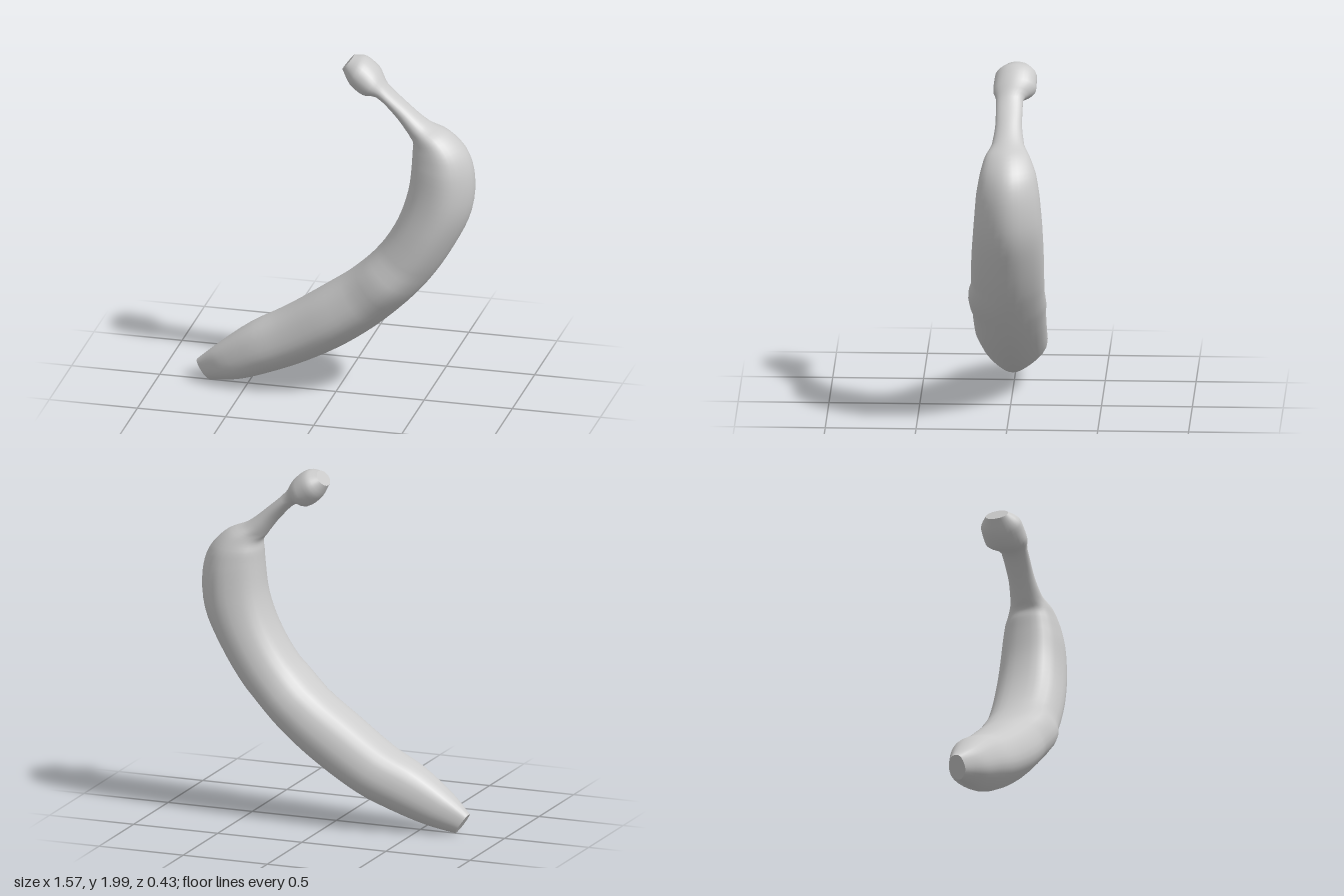
import * as THREE from 'three';

// Cross-sections from blossom tip to stem end:
// inner edge x, y, outer edge x, y, half width in z, centre z
const SECTIONS = [
  [-0.79, 0.12, -0.71, 0.005, 0.045, 0],
  [-0.68, 0.22, -0.54, 0.035, 0.105, 0.01],
  [-0.50, 0.36, -0.36, 0.095, 0.155, 0],
  [-0.32, 0.46, -0.16, 0.18, 0.185, -0.01],
  [-0.10, 0.61, 0.08, 0.32, 0.20, 0],
  [0.08, 0.74, 0.30, 0.49, 0.203, 0],
  [0.24, 0.90, 0.52, 0.72, 0.203, 0],
  [0.35, 1.08, 0.67, 0.95, 0.20, -0.005],
  [0.41, 1.26, 0.765, 1.16, 0.19, -0.01],
  [0.43, 1.42, 0.78, 1.36, 0.175, -0.01],
  [0.435, 1.50, 0.74, 1.50, 0.155, -0.01],
  [0.44, 1.55, 0.64, 1.605, 0.125, -0.005],
  [0.415, 1.59, 0.52, 1.66, 0.09, -0.005],
  [0.33, 1.70, 0.40, 1.755, 0.073, -0.005],
  [0.23, 1.79, 0.29, 1.855, 0.075, -0.005],
  [0.15, 1.79, 0.23, 1.94, 0.118, -0.03],
  [0.08, 1.84, 0.155, 1.995, 0.115, -0.035],
  [0.03, 1.92, 0.09, 1.995, 0.065, -0.04],
];
const STEPS = 4; // rings per section
const SIDES = 30;

// A smooth curve through three columns of the section table
const column = (a, b, c) => new THREE.CatmullRomCurve3(
  SECTIONS.map((s) => new THREE.Vector3(s[a], s[b], c === undefined ? 0 : s[c])));

export function createModel() {
  const group = new THREE.Group();
  const material = new THREE.MeshStandardMaterial({ color: 0xcccccc, roughness: 0.8 });
  const inner = column(0, 1);
  const outer = column(2, 3);
  const width = column(4, 5);
  const rings = (SECTIONS.length - 1) * STEPS;

  // Rings with five soft ridges, fading out along the stem
  const positions = [];
  for (let i = 0; i <= rings; i++) {
    const a = inner.getPoint(i / rings);
    const b = outer.getPoint(i / rings);
    const w = width.getPoint(i / rings);
    const mid = a.clone().add(b).multiplyScalar(0.5);
    const half = b.clone().sub(a).multiplyScalar(0.5);
    const ridge = i < 12 * STEPS ? 0.022 : 0;
    for (let j = 0; j < SIDES; j++) {
      const t = (j / SIDES) * Math.PI * 2;
      const r = 1 + ridge * (Math.cos(5 * t) - 0.4);
      const c = Math.cos(t) * r;
      positions.push(mid.x + half.x * c, mid.y + half.y * c, w.y + w.x * Math.sin(t) * r);
    }
  }
  const quads = (from, to) => {
    const index = [];
    for (let i = from; i < to; i++) {
      for (let j = 0; j < SIDES; j++) {
        const a = i * SIDES + j;
        const b = i * SIDES + (j + 1) % SIDES;
        index.push(a, a + SIDES, b, b, a + SIDES, b + SIDES);
      }
    }
    return index;
  };
  const skin = new THREE.BufferGeometry();
  skin.setAttribute('position', new THREE.Float32BufferAttribute(positions, 3));
  skin.setIndex(quads(0, rings));
  skin.computeVertexNormals();

  // Fruit, stem and knob share one continuous skin
  const addPart = (name, geometry) => {
    const mesh = new THREE.Mesh(geometry, material);
    mesh.name = name;
    group.add(mesh);
  };
  const addSkin = (name, from, to) => {
    const geometry = new THREE.BufferGeometry();
    geometry.setAttribute('position', skin.attributes.position);
    geometry.setAttribute('normal', skin.attributes.normal);
    geometry.setIndex(quads(from * STEPS, to * STEPS));
    addPart(name, geometry);
  };
  addSkin('fruit', 0, 12);
  addSkin('stem', 12, 14);
  addSkin('stemKnob', 14, SECTIONS.length - 1);

  // Flat caps closing both ends
  const addCap = (name, ring, flip) => {
    const points = positions.slice(ring * SIDES * 3, (ring + 1) * SIDES * 3);
    const index = [];
    for (let j = 1; j < SIDES - 1; j++) index.push(0, flip ? j + 1 : j, flip ? j : j + 1);
    const geometry = new THREE.BufferGeometry();
    geometry.setAttribute('position', new THREE.Float32BufferAttribute(points, 3));
    geometry.setIndex(index);
    geometry.computeVertexNormals();
    addPart(name, geometry);
  };
  addCap('blossomTip', 0, false);
  addCap('stemCut', rings, true);

  return group;
}
